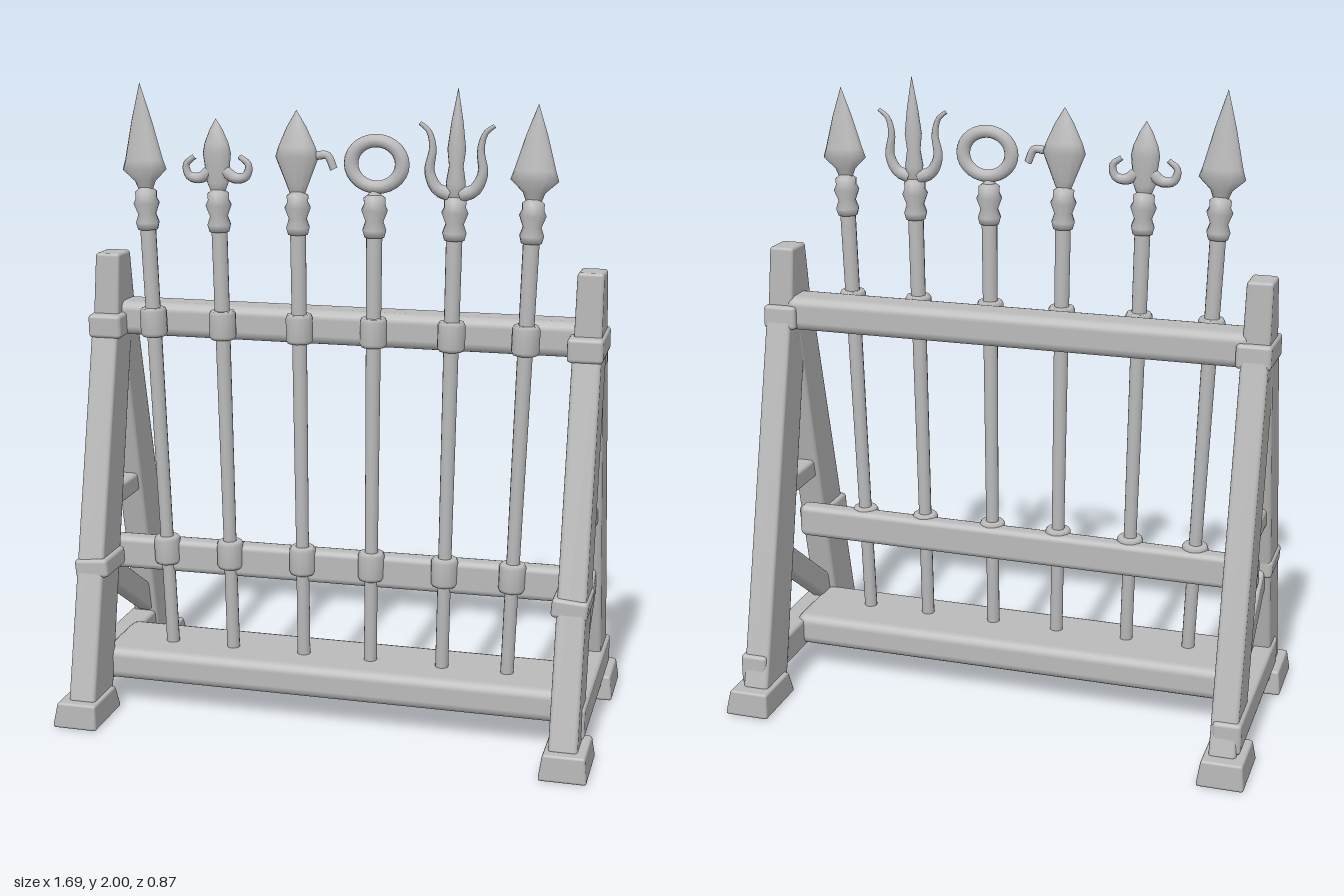
import * as THREE from 'three';
import { RoundedBoxGeometry } from 'three/addons/geometries/RoundedBoxGeometry.js';

const grey = new THREE.MeshStandardMaterial({ color: 0xbababa });
grey.name = 'weathered grey';

function add(parent, name, geometry, x = 0, y = 0, z = 0) {
  const mesh = new THREE.Mesh(geometry, grey);
  mesh.name = name;
  mesh.position.set(x, y, z);
  parent.add(mesh);
  return mesh;
}

// Bevelled box given by its limits on each axis
function block(parent, name, [x0, x1], [y0, y1], [z0, z1], bevel = 0.012) {
  const g = new RoundedBoxGeometry(x1 - x0, y1 - y0, z1 - z0, 2, bevel);
  return add(parent, name, g, (x0 + x1) / 2, (y0 + y1) / 2, (z0 + z1) / 2);
}

// Narrow a geometry towards its top by separate x and z factors
function taper(g, height, kx, kz) {
  const p = g.attributes.position;
  for (let i = 0; i < p.count; i++) {
    const t = p.getY(i) / height + 0.5;
    p.setX(i, p.getX(i) * (1 + (kx - 1) * t));
    p.setZ(i, p.getZ(i) * (1 + (kz - 1) * t));
  }
  return g;
}

// Timber between two [z, y] points in the plane of an end frame
function strut(parent, name, x, [z0, y0], [z1, y1], width, d0, d1 = d0) {
  const len = Math.hypot(z1 - z0, y1 - y0);
  const g = taper(new RoundedBoxGeometry(width, len, d0, 2, 0.012), len, 1, d1 / d0);
  const m = add(parent, name, g, x, (y0 + y1) / 2, (z0 + z1) / 2);
  m.rotation.x = Math.atan2(z1 - z0, y1 - y0);
  return m;
}

// Curved prong that thins from r0 to r1
function prong(parent, name, points, r0, r1) {
  const curve = new THREE.CatmullRomCurve3(points.map(([x, y]) => new THREE.Vector3(x, y, 0)));
  const n = 16, sides = 8;
  const g = new THREE.TubeGeometry(curve, n, r0, sides);
  const p = g.attributes.position, v = new THREE.Vector3();
  for (let i = 0; i < p.count; i++) {
    const t = Math.floor(i / (sides + 1)) / n;
    const c = curve.getPointAt(t);
    v.fromBufferAttribute(p, i).sub(c).multiplyScalar(1 + (r1 / r0 - 1) * t).add(c);
    p.setXYZ(i, v.x, v.y, v.z);
  }
  return add(parent, name, g);
}

function turned(parent, name, profile, flat = 1, sides = 12) {
  const g = new THREE.LatheGeometry(profile.map(([r, y]) => new THREE.Vector2(r, y)), sides);
  g.scale(1, 1, flat);
  return add(parent, name, g);
}

function endFrame(side) {
  const f = new THREE.Group();
  f.name = side > 0 ? 'leftEndFrame' : 'rightEndFrame';
  const x = side * 0.765;
  const span = (a, b) => (side > 0 ? [a, b] : [-b, -a]);

  strut(f, 'frontLeg', x, [0.31, 0.05], [0.025, 1.26], 0.088, 0.165, 0.13);
  strut(f, 'backLeg', x, [-0.3, 0.05], [-0.015, 1.26], 0.084, 0.165, 0.13);
  const peak = taper(new RoundedBoxGeometry(0.086, 0.3, 0.185, 2, 0.01), 0.3, 0.93, 0.52);
  add(f, 'postTop', peak, x, 1.31, 0.008);

  // Feet
  for (const s of [1, -1]) {
    const foot = taper(new RoundedBoxGeometry(0.146, 0.076, 0.222, 2, 0.008), 0.076, 0.87, 0.8);
    const m = add(f, s > 0 ? 'frontFoot' : 'backFoot', foot, side * 0.772, 0.038, s * 0.328);
    m.rotation.y = 0;
  }

  // Rails and brace
  block(f, 'lowerRail', span(0.73, 0.818), [0.08, 0.18], [-0.365, 0.3]);
  block(f, 'middleRail', span(0.735, 0.795), [0.64, 0.705], [-0.16, 0.16]);
  if (side > 0) strut(f, 'brace', x, [0.21, 0.185], [-0.16, 0.46], 0.05, 0.085);
  else strut(f, 'brace', x, [-0.21, 0.215], [0.16, 0.45], 0.05, 0.085);

  // Lashings
  const upper = block(f, 'upperBand', span(0.707, 0.815), [1.2, 1.275], [-0.09, 0.115]);
  upper.rotation.x = 0.04;
  const lower = block(f, 'lowerBand', span(0.705, 0.815), [0.455, 0.515], [0.125, 0.29]);
  lower.rotation.z = side * -0.08;
  return f;
}

// Head shapes, in heights along the pole
const blade = (tip, r, wide) => [[0, 1.655], [0.022, 1.67], [0.034, 1.7], [r, wide], [r * 0.86, wide + 0.03], [r * 0.45, (wide + tip) / 2 + 0.02], [0, tip]];
const heads = {
  longBlade: (g, tip) => turned(g, 'spearhead', blade(tip, 0.072, 1.735), 0.52),
  horned(g, tip) {
    turned(g, 'spearhead', blade(tip, 0.045, 1.79), 0.6);
    for (const s of [1, -1])
      prong(g, 'horn', [[s * 0.025, 1.735], [s * 0.055, 1.715], [s * 0.09, 1.72], [s * 0.1, 1.755], [s * 0.072, 1.78]], 0.02, 0.008);
  },
  hooked(g, tip) {
    turned(g, 'spearhead', blade(tip, 0.068, 1.785), 0.52);
    prong(g, 'hook', [[0.063, 1.79], [0.095, 1.79], [0.115, 1.75]], 0.013, 0.012);
  },
  ring(g) {
    turned(g, 'ringStem', [[0, 1.64], [0.02, 1.65], [0.018, 1.665], [0.023, 1.675], [0.012, 1.69], [0, 1.69]]);
    const t = new THREE.TorusGeometry(0.077, 0.022, 10, 28);
    t.scale(1.02, 0.9, 0.8);
    add(g, 'ring', t, 0.005, 1.77, 0);
  },
  trident(g, tip) {
    turned(g, 'middleProng', [[0, 1.655], [0.022, 1.67], [0.03, 1.72], [0.022, 1.77], [0.028, 1.82], [0.018, 1.9], [0, tip]], 0.8);
    for (const s of [1, -1])
      prong(g, 'sideProng', [[s * 0.015, 1.685], [s * 0.055, 1.7], [s * 0.08, 1.75], [s * 0.072, 1.82], [s * 0.085, 1.87], [s * 0.112, 1.892]], 0.022, 0.006);
  },
};

function polearm(kind, xBottom, xTop, tip) {
  const g = new THREE.Group();
  g.name = kind + 'Polearm';
  turned(g, 'shaft', [[0, 0.17], [0.021, 0.17], [0.021, 0.6], [0.025, 1.58], [0, 1.58]]);
  turned(g, 'ferrule', [[0, 1.545], [0.031, 1.55], [0.037, 1.572], [0.028, 1.598], [0.041, 1.632], [0.033, 1.648], [0.034, 1.668], [0.018, 1.68], [0, 1.68]]);
  heads[kind](g, tip);
  // Collars that hold the pole to the two bars
  for (const y of [0.51, 1.258])
    turned(g, 'collar', [[0, y - 0.045], [0.037, y - 0.045], [0.043, y - 0.034], [0.043, y + 0.034], [0.037, y + 0.045], [0, y + 0.045]]);
  // Lean the pole sideways
  const lean = (xTop - xBottom) / 1.8;
  g.rotation.z = -lean;
  g.position.set(xBottom - 0.2 * lean, 0, 0.1);
  return g;
}

export function createModel() {
  const model = new THREE.Group();
  model.name = 'polearmRack';
  model.add(endFrame(1), endFrame(-1));

  // Long timbers
  block(model, 'topBeam', [-0.75, 0.75], [1.197, 1.307], [-0.073, 0.053], 0.03);
  const bar = block(model, 'middleBar', [-0.78, 0.78], [0.436, 0.545], [0.045, 0.108], 0.02);
  bar.rotation.z = 0.006;
  block(model, 'bottomShelf', [-0.76, 0.76], [0.09, 0.196], [-0.06, 0.222], 0.03);

  // Weapons: kind, foot x, head x, tip height
  [
    ['longBlade', -0.557, -0.625, 2.0],
    ['horned', -0.35, -0.383, 1.895],
    ['hooked', -0.112, -0.127, 1.925],
    ['ring', 0.108, 0.118, 1.85],
    ['trident', 0.34, 0.367, 2.0],
    ['longBlade', 0.548, 0.606, 1.957],
  ].forEach((a) => model.add(polearm(...a)));
  return model;
}
